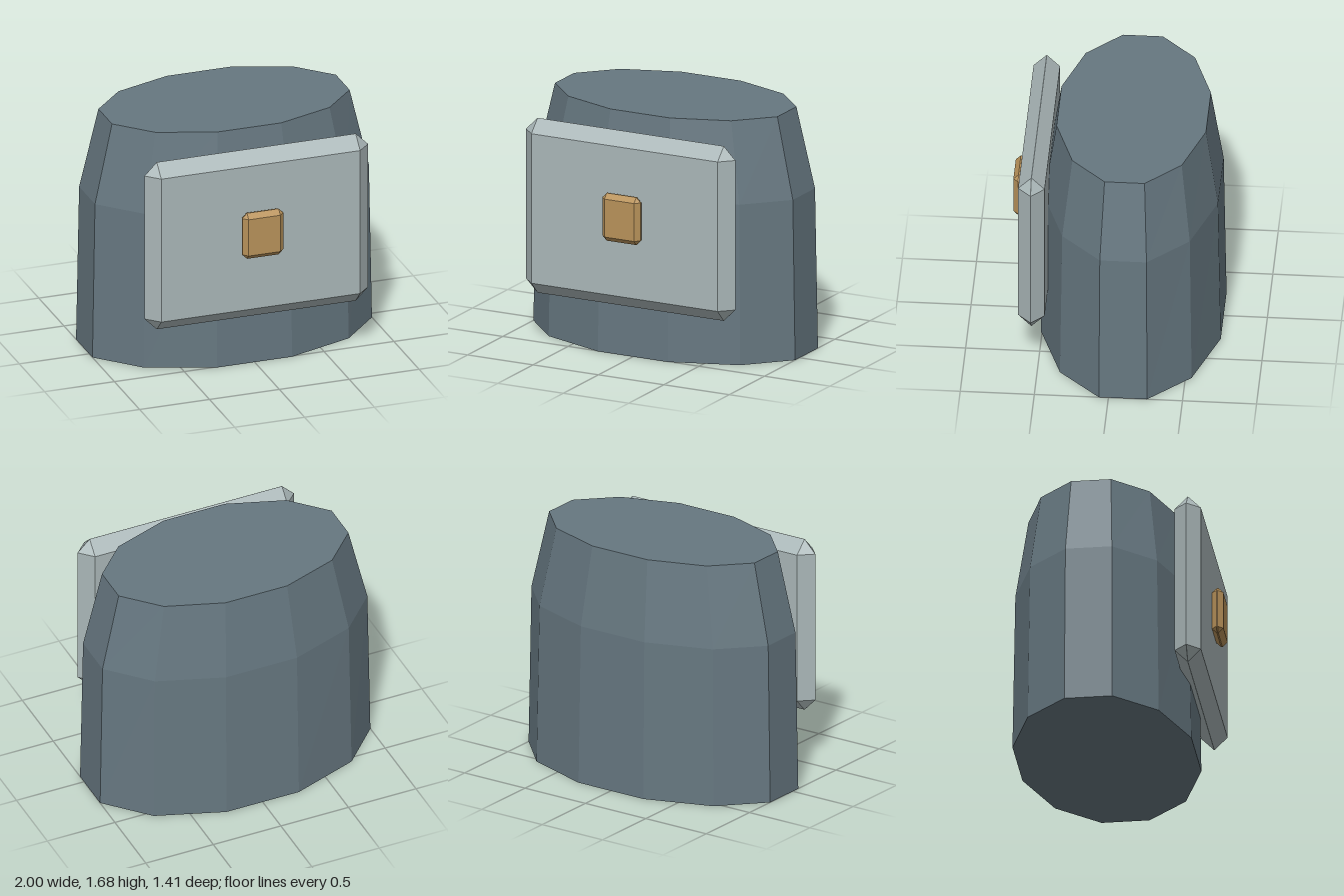
import * as THREE from 'three';
import { ConvexGeometry } from 'three/addons/geometries/ConvexGeometry.js';

const flat = (color) => new THREE.MeshStandardMaterial({ color, flatShading: true });

// Twelve-sided oval body; each ring is [y, half width, half depth] from the bottom up
function bodyGeometry() {
  const rings = [[0, 1, 0.607], [1.12, 0.98, 0.588], [1.68, 0.85, 0.504]];
  const step = Math.PI / 12;
  const geo = new THREE.CylinderGeometry(1, 1, 2, 12, 2, false, step);
  const pos = geo.attributes.position;
  for (let i = 0; i < pos.count; i++) {
    const [y, w, d] = rings[Math.round(pos.getY(i)) + 1];
    const k = 1 / Math.cos(step); // flats, not corners, reach the half sizes
    pos.setXYZ(i, pos.getX(i) * w * k, y, pos.getZ(i) * d * k);
  }
  geo.computeVertexNormals();
  return geo;
}

// Box with every edge cut at 45 degrees and every corner cut to a triangle
function chamferedBox(w, h, d, c) {
  const half = [w / 2, h / 2, d / 2];
  const points = [];
  for (const sx of [-1, 1]) for (const sy of [-1, 1]) for (const sz of [-1, 1]) {
    for (let axis = 0; axis < 3; axis++) {
      const p = half.map((v, i) => (i === axis ? v : v - c));
      points.push(new THREE.Vector3(p[0] * sx, p[1] * sy, p[2] * sz));
    }
  }
  return new ConvexGeometry(points);
}

export function createModel() {
  const group = new THREE.Group();
  const add = (name, geo, color, y, z) => {
    const mesh = new THREE.Mesh(geo, flat(color));
    mesh.name = name;
    mesh.position.set(0, y, z);
    group.add(mesh);
  };

  add('body', bodyGeometry(), 0x667780, 0, -0.098);
  // Front plate, its rim coming to an edge halfway through its thickness
  add('frontPlate', chamferedBox(1.6, 1.226, 0.178, 0.0885), 0xaab7b8, 0.972, 0.541);
  // Small clasp in the middle of the plate
  add('clasp', chamferedBox(0.294, 0.334, 0.077, 0.034), 0xb8925a, 1.008, 0.6675);
  return group;
}
